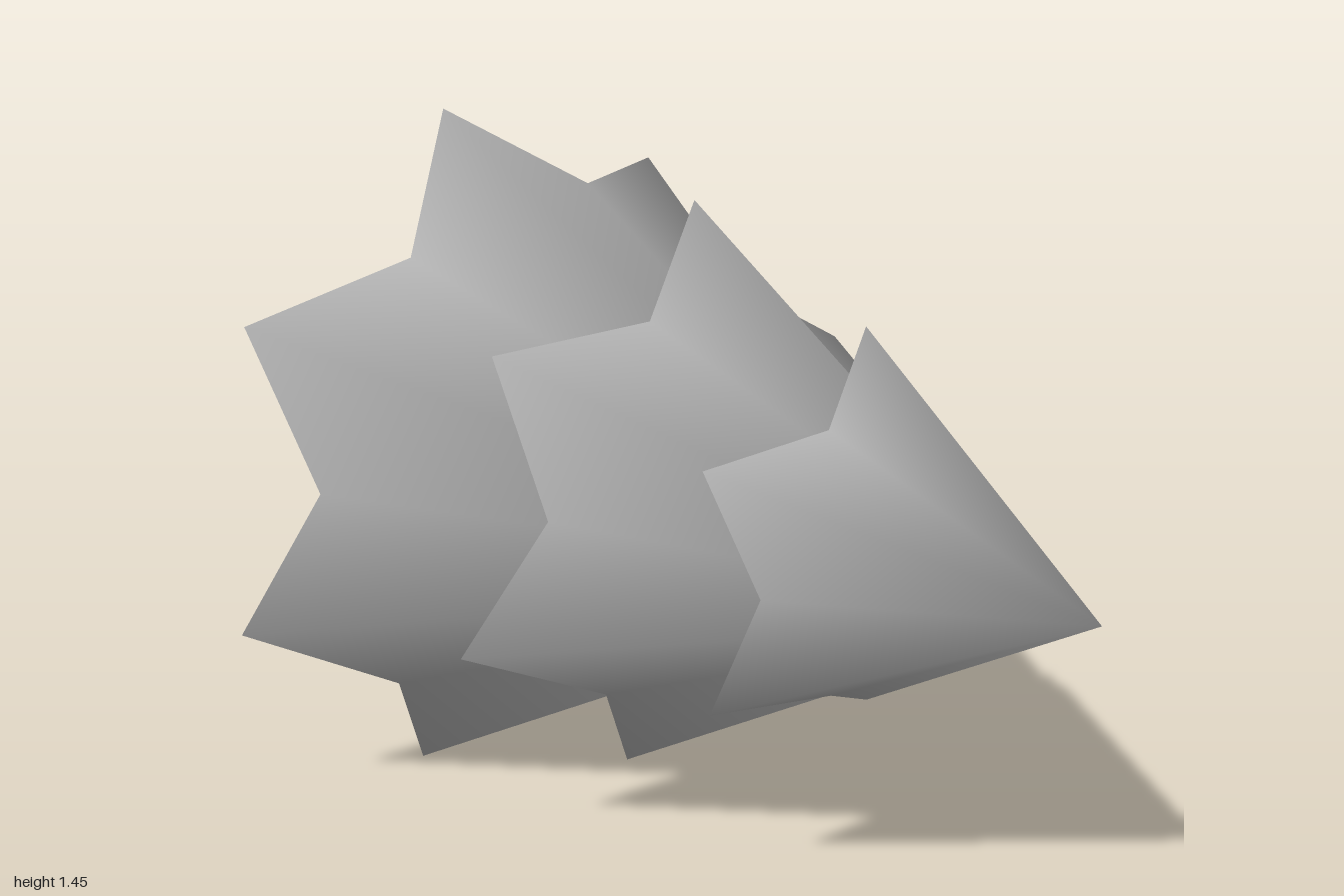
import * as THREE from 'three';

// Vertex normals averaged by corner angle, so rims blend front and underside
function smoothNormals(geo) {
  const pos = geo.attributes.position, idx = geo.index.array;
  const sums = Array.from({ length: pos.count }, () => new THREE.Vector3());
  for (let i = 0; i < idx.length; i += 3) {
    const ids = [idx[i], idx[i + 1], idx[i + 2]];
    const p = ids.map((k) => new THREE.Vector3().fromBufferAttribute(pos, k));
    const n = p[1].clone().sub(p[0]).cross(p[2].clone().sub(p[0])).normalize();
    ids.forEach((k, c) => {
      const a = p[(c + 1) % 3].clone().sub(p[c]);
      const b = p[(c + 2) % 3].clone().sub(p[c]);
      sums[k].addScaledVector(n, a.angleTo(b));
    });
  }
  const normals = sums.flatMap((n) => n.normalize().toArray());
  geo.setAttribute('normal', new THREE.Float32BufferAttribute(normals, 3));
}

// Closed skin: front point, rings of equal size (front to back), back point
function skin(front, rings, back) {
  const n = rings[0].length;
  const points = [front, ...rings.flat(), back];
  const last = points.length - 1, index = [];
  for (let i = 0; i < n; i++) {
    const j = (i + 1) % n;
    index.push(0, 1 + i, 1 + j);
    for (let r = 0; r < rings.length - 1; r++) {
      const a = 1 + r * n, b = a + n;
      index.push(a + i, b + i, b + j, a + i, b + j, a + j);
    }
    index.push(last, last - n + j, last - n + i);
  }
  const geo = new THREE.BufferGeometry();
  geo.setAttribute('position', new THREE.Float32BufferAttribute(points.flat(), 3));
  geo.setIndex(index);
  smoothNormals(geo);
  return geo;
}

// Star-shaped (or plain, when both radii match) ring around the z axis
function ring(count, [cx, cy], startDeg, radii, depths, tilt = 0) {
  return Array.from({ length: count }, (_, i) => {
    const a = THREE.MathUtils.degToRad(startDeg) + (i / count) * Math.PI * 2;
    const r = radii[i % 2], dy = r * Math.sin(a);
    return [cx + r * Math.cos(a), cy + dy, depths[i % 2] - tilt * dy];
  });
}

export function createModel() {
  const group = new THREE.Group();
  const grey = new THREE.MeshStandardMaterial({ color: 0xb8b8b8 });
  grey.name = 'plainGrey';
  const add = (name, geo) => {
    const mesh = new THREE.Mesh(geo, grey);
    mesh.name = name;
    group.add(mesh);
  };

  // Three star-rimmed foliage cones, the tree lying with its top toward +z
  const tiers = [
    { name: 'topFoliage', tips: 5, centre: [-0.015, 0.729], start: 1.5, radii: [0.427, 0.293], depths: [0.363, 0.452], apex: [0, 0.735, 1], under: 0.49 },
    { name: 'middleFoliage', tips: 6, centre: [-0.017, 0.7215], start: 18.9, radii: [0.603, 0.443], depths: [-0.081, 0.037], apex: [-0.005, 0.73, 0.93], under: 0.1 },
    { name: 'bottomFoliage', tips: 7, centre: [-0.02, 0.712], start: 45.3, radii: [0.75, 0.59], depths: [-0.602, -0.462], apex: [-0.01, 0.722, 0.67], under: -0.38 },
  ];
  for (const t of tiers) {
    const rim = ring(t.tips * 2, t.centre, t.start, t.radii, t.depths, 0.015);
    add(t.name, skin(t.apex, [rim], [...t.centre, t.under]));
  }

  // Four-sided trunk, widening toward its base
  const c = [-0.018, 0.711];
  const rings = [[0.115, -0.3], [0.207, -1]].map(([r, z]) => ring(4, c, 20, [r, r], [z, z]));
  add('trunk', skin([...c, -0.3], rings, [...c, -1]));

  return group;
}
